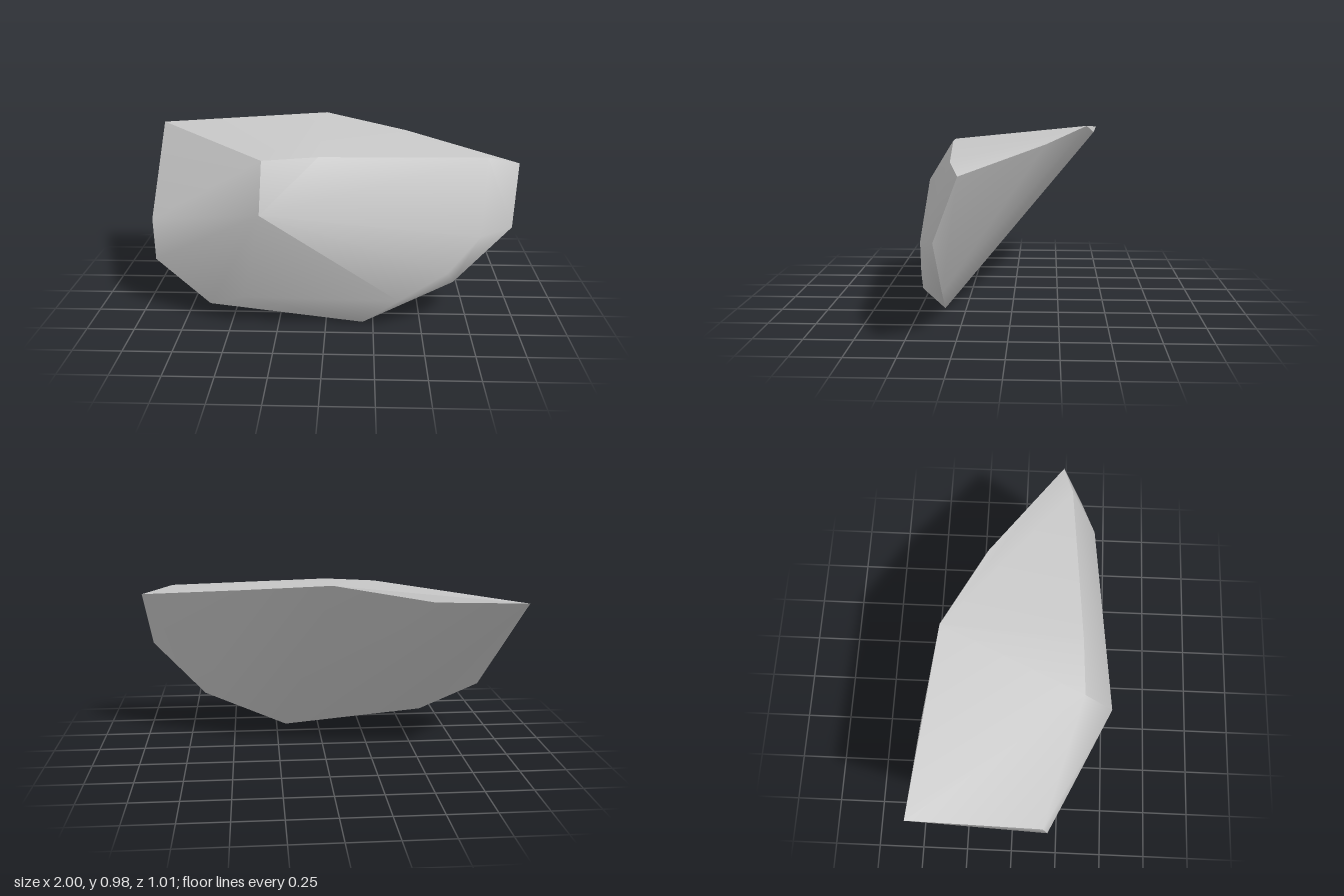
import * as THREE from 'three';

// Corner points of the boulder
const corners = {
  A: [-1, 0.895, -0.505],
  Q: [-0.53, 0.9, -0.465],
  B: [-0.02, 0.98, -0.4],
  C: [0.43, 0.925, -0.18],
  D: [1, 0.84, 0.21],
  E: [0.83, 0.882, 0.26],
  T: [-0.04, 0.895, 0.335],
  F: [-0.33, 0.877, 0.35],
  G: [-0.33, 0.635, 0.508],
  H: [0.96, 0.53, 0.33],
  I: [0.79, 0.5, 0.41],
  J: [0.63, 0.31, 0.43],
  K: [0.38, 0.162, 0.458],
  L: [0.67, 0.22, 0.325],
  M: [0.195, 0, 0.365],
  N: [-0.62, 0.085, 0.34],
  O: [-0.43, 0.165, 0.435],
  P: [-0.935, 0.28, 0.195],
  R: [-0.95, 0.5, 0.165],
};

// Each patch is smooth inside and sharp at its border; each word is a triangle fan
// A lower-case letter is a second copy of a corner, which keeps the ridge there sharp
const patches = {
  topFace: ['BAFTEDC'],
  frontAndSideFaces: ['GFTEIJK', 'EDHI', 'gKONPRf', 'fRA', 'OKMN', 'LMKJIH'],
  undersideAndBack: ['MAQBL', 'LBCDH', 'AMNPR'],
  backChip: ['AQB'],
};

const centre = new THREE.Vector3(0, 0.6, 0.12);

function buildPatch(fans) {
  const names = [...new Set(fans.join(''))];
  const points = names.map((n) => new THREE.Vector3(...corners[n.toUpperCase()]));
  const index = [];
  for (const fan of fans) {
    for (let i = 1; i < fan.length - 1; i++) {
      const [a, b, c] = [fan[0], fan[i], fan[i + 1]].map((n) => names.indexOf(n));
      const triangle = new THREE.Triangle(points[a], points[b], points[c]);
      const normal = triangle.getNormal(new THREE.Vector3());
      const outward = triangle.getMidpoint(new THREE.Vector3()).sub(centre);
      // Turn every face outward
      if (normal.dot(outward) > 0) index.push(a, b, c);
      else index.push(a, c, b);
    }
  }
  const geometry = new THREE.BufferGeometry().setFromPoints(points);
  geometry.setIndex(index);
  geometry.computeVertexNormals();
  return geometry;
}

export function createModel() {
  const stone = new THREE.MeshStandardMaterial({ color: 0xc8c8c8 });
  stone.name = 'stone grey';
  const boulder = new THREE.Group();
  boulder.name = 'boulder';
  for (const [name, fans] of Object.entries(patches)) {
    const mesh = new THREE.Mesh(buildPatch(fans), stone);
    mesh.name = name;
    boulder.add(mesh);
  }
  return boulder;
}
